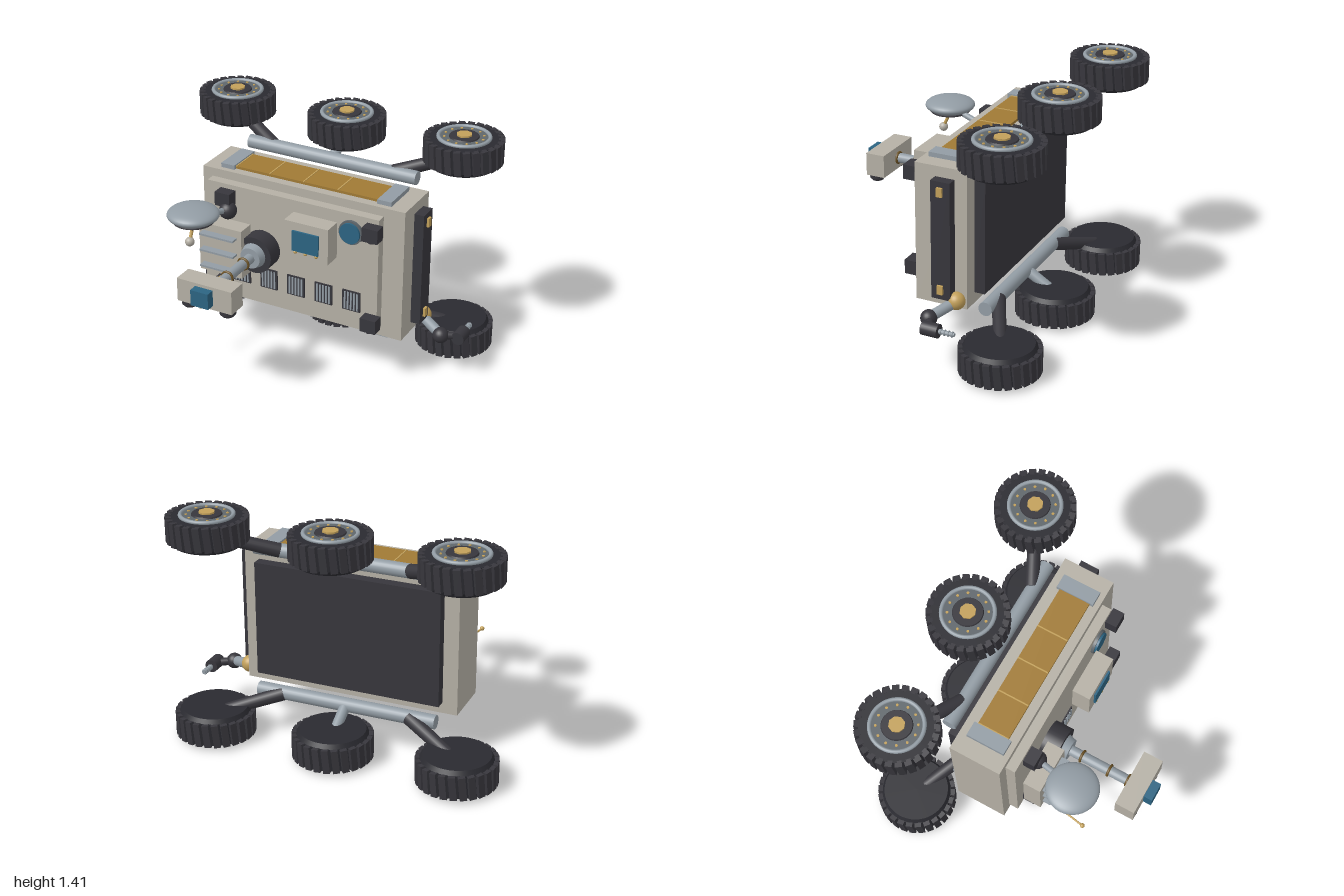
import * as THREE from 'three';

const mat = (name, color) => Object.assign(new THREE.MeshStandardMaterial({ color }), { name });
const M = {
  hull: mat('hull beige', 0xb5b0a5),
  dark: mat('dark charcoal', 0x37363c),
  tyre: mat('tyre black', 0x2a2a30),
  steel: mat('blue grey steel', 0x929ca4),
  hub: mat('hub grey', 0x5f666b),
  gold: mat('gold', 0xc2a05a),
  foil: mat('foil amber', 0xa07a35),
  bronze: mat('bronze', 0x6b5124),
  blue: mat('lens blue', 0x2c6482),
};
const MID = 0.712; // height of the horizontal symmetry plane
const UP = new THREE.Vector3(0, 1, 0);

function add(parent, name, geo, material, x = 0, y = 0, z = 0) {
  const m = new THREE.Mesh(geo, material);
  m.name = name;
  m.position.set(x, y, z);
  parent.add(m);
  return m;
}
// Box given by its limits
function box(parent, name, material, x0, x1, y0, y1, z0, z1) {
  return add(parent, name, new THREE.BoxGeometry(x1 - x0, y1 - y0, z1 - z0), material,
    (x0 + x1) / 2, (y0 + y1) / 2, (z0 + z1) / 2);
}
// Cylinder running from point a to point b
function rod(parent, name, material, a, b, r0, r1 = r0, sides = 20) {
  const A = new THREE.Vector3(...a), B = new THREE.Vector3(...b);
  const d = B.clone().sub(A);
  const m = add(parent, name, new THREE.CylinderGeometry(r1, r0, d.length(), sides), material);
  m.position.copy(A).add(B).multiplyScalar(0.5);
  m.quaternion.setFromUnitVectors(UP, d.normalize());
  return m;
}
const ball = (parent, name, material, r, x, y, z) =>
  add(parent, name, new THREE.SphereGeometry(r, 24, 16), material, x, y, z);

// Wheel with its axle on y, outer face up, origin at tread centre
function makeWheel() {
  const g = new THREE.Group();
  g.name = 'wheel';
  add(g, 'tyre', new THREE.CylinderGeometry(0.212, 0.212, 0.14, 48), M.tyre);
  add(g, 'innerSidewall', new THREE.CylinderGeometry(0.21, 0.195, 0.027, 48), M.tyre, 0, -0.083, 0);
  const lugGeo = new THREE.BoxGeometry(0.04, 0.142, 0.036);
  for (let i = 0; i < 26; i++) {
    const a = (i / 26) * Math.PI * 2;
    const lug = add(g, 'treadLug', lugGeo, M.dark, Math.sin(a) * 0.218, 0, Math.cos(a) * 0.218);
    lug.rotation.set(0, a, 0.1);
  }
  rod(g, 'rimDisc', M.hub, [0, 0.06, 0], [0, 0.076, 0], 0.145, 0.145, 40);
  add(g, 'rimRing', new THREE.TorusGeometry(0.15, 0.012, 10, 48), M.steel, 0, 0.076, 0).rotation.x = Math.PI / 2;
  rod(g, 'hubPlate', M.dark, [0, 0.07, 0], [0, 0.084, 0], 0.092, 0.085, 32);
  rod(g, 'hubCap', M.gold, [0, 0.07, 0], [0, 0.094, 0], 0.047, 0.047, 8);
  for (let i = 0; i < 12; i++) {
    const a = (i / 12) * Math.PI * 2, x = Math.sin(a) * 0.116, z = Math.cos(a) * 0.116;
    rod(g, 'rimBolt', M.gold, [x, 0.074, z], [x, 0.081, z], 0.008, 0.008, 8);
  }
  return g;
}

// One side: foil panel, end plates, beam, legs and three wheels; s = +1 upper, -1 lower
function makeSide(s) {
  const g = new THREE.Group();
  g.name = s > 0 ? 'upperSide' : 'lowerSide';
  g.position.y = MID;
  const Y = (a, b) => (s > 0 ? [a, b] : [-b, -a]);
  box(g, 'foilPanel', M.foil, -0.47, 0.47, ...Y(0.41, 0.434), -0.235, -0.04);
  for (const x of [-0.47, -0.245, -0.02, 0.205])
    box(g, 'foilSeam', M.gold, x, x + 0.008, ...Y(0.43, 0.437), -0.235, -0.04);
  for (const x of [-0.515, 0.515])
    box(g, 'endPlate', M.steel, x - 0.045, x + 0.045, ...Y(0.41, 0.445), -0.255, -0.018);
  rod(g, 'rockerBeam', M.steel, [-0.56, s * 0.452, -0.367], [0.56, s * 0.452, -0.367], 0.042, 0.042, 24);
  for (const x of [-1, 0, 1]) {
    rod(g, 'wheelLeg', x ? M.dark : M.steel, [x * 0.4, s * 0.455, -0.375],
      [x * 0.757, s * 0.565, -0.557], x ? 0.042 : 0.032, x ? 0.036 : 0.032);
    const w = makeWheel();
    w.position.set(x * 0.76, s * 0.609, -0.557);
    if (s < 0) w.rotation.x = Math.PI;
    g.add(w);
  }
  return g;
}

function makeBody() {
  const g = new THREE.Group();
  g.name = 'body';
  box(g, 'hull', M.hull, -0.665, 0.662, 0.293, 1.13, -0.305, 0.015);
  box(g, 'deckPlate', M.hull, -0.6, 0.53, 0.345, 1.077, 0.01, 0.075);
  box(g, 'bellyPlate', M.dark, -0.575, 0.57, 0.36, 1.063, -0.37, -0.3);
  box(g, 'sideStrip', M.dark, 0.66, 0.722, 0.355, 1.068, -0.23, -0.112);
  for (const y of [0.416, 1.008])
    box(g, 'stripLatch', M.gold, 0.72, 0.736, y - 0.027, y + 0.027, -0.187, -0.153);
  box(g, 'lowerVent', M.dark, -0.24, 0.23, 0.258, 0.28, -0.19, -0.09);
  // Corner cameras
  for (const [x, y] of [[-0.485, 0.415], [0.505, 0.415], [0.505, 1.005], [-0.46, 1.005]]) {
    box(g, 'cornerCamera', M.dark, x - 0.05, x + 0.05, y - 0.043, y + 0.043, 0.075, 0.147);
    rod(g, 'cornerLens', M.dark, [x, y - 0.055, 0.115], [x, y - 0.04, 0.115], 0.022);
  }
  // Row of slatted vents
  for (let i = 0; i < 5; i++) {
    const x = -0.37 + i * 0.184;
    box(g, 'vent', M.dark, x - 0.058, x + 0.058, 0.45, 0.58, 0.07, 0.083);
    for (let k = 0; k < 5; k++) {
      const sx = x - 0.04 + k * 0.02;
      box(g, 'ventSlat', M.steel, sx - 0.005, sx + 0.005, 0.458, 0.572, 0.08, 0.088);
    }
  }
  // Instrument box with screen
  box(g, 'instrumentBox', M.hull, 0, 0.283, 0.797, 1.022, 0.11, 0.222);
  box(g, 'instrumentScreen', M.blue, 0.055, 0.225, 0.842, 0.97, 0.22, 0.234);
  for (const x of [0.075, 0.14, 0.21]) ball(g, 'instrumentKnob', M.gold, 0.011, x, 0.835, 0.226);
  // Round sensor
  rod(g, 'sensorRim', M.hub, [0.358, 0.964, 0.07], [0.358, 0.964, 0.092], 0.075, 0.075, 32);
  rod(g, 'sensorLens', M.blue, [0.358, 0.964, 0.09], [0.358, 0.964, 0.105], 0.064, 0.064, 32);
  // Radiator box with fins
  box(g, 'radiatorBox', M.hull, -0.577, -0.29, 0.555, 0.868, 0.11, 0.22);
  for (const y of [0.605, 0.71, 0.815])
    box(g, 'radiatorFin', M.steel, -0.55, -0.32, y - 0.006, y + 0.006, 0.215, 0.27);
  // Whip antenna
  rod(g, 'whipAntenna', M.gold, [-0.47, 0.487, 0.075], [-0.537, 0.487, 0.475], 0.006, 0.006, 10);
  ball(g, 'antennaTip', M.gold, 0.014, -0.538, 0.487, 0.48);
  return g;
}

function makeMast() {
  const g = new THREE.Group();
  g.name = 'cameraMast';
  g.position.set(-0.227, 0.714, 0);
  rod(g, 'mastBase', M.dark, [0, 0, 0.075], [0, 0, 0.185], 0.116, 0.116, 32);
  rod(g, 'mastCollar', M.steel, [0, 0, 0.18], [0, 0, 0.23], 0.08, 0.065, 28);
  rod(g, 'mastPole', M.steel, [0, 0, 0.2], [0, 0, 0.62], 0.031);
  for (const z of [0.305, 0.485, 0.607])
    add(g, 'mastRing', new THREE.TorusGeometry(0.033, 0.008, 8, 28), M.bronze, 0, 0, z);
  box(g, 'cameraHead', M.hull, -0.178, 0.178, -0.072, 0.072, 0.615, 0.737);
  box(g, 'headScreen', M.blue, -0.057, 0.057, -0.045, 0.053, 0.73, 0.79);
  ball(g, 'headSensor', M.gold, 0.012, 0, -0.047, 0.772);
  for (const x of [-0.125, 0.125]) {
    rod(g, 'headLens', M.dark, [x, -0.065, 0.69], [x, -0.097, 0.69], 0.047, 0.047, 24);
    rod(g, 'lensBarrel', M.tyre, [x, -0.095, 0.69], [x, -0.11, 0.69], 0.036, 0.036, 24);
  }
  return g;
}

function makeDish() {
  const g = new THREE.Group();
  g.name = 'dishAntenna';
  ball(g, 'dishPivot', M.dark, 0.054, -0.433, 0.935, 0.125);
  rod(g, 'dishArm', M.steel, [-0.433, 0.935, 0.125], [-0.49, 0.995, 0.36], 0.018);
  const shell = add(g, 'dishShell', new THREE.SphereGeometry(0.154, 36, 24), M.steel, -0.505, 1.01, 0.39);
  shell.scale.y = 0.32;
  const face = add(g, 'dishFace', new THREE.SphereGeometry(0.125, 36, 12), M.dark, -0.505, 0.972, 0.39);
  face.scale.y = 0.15;
  rod(g, 'feedRod', M.gold, [-0.505, 0.96, 0.39], [-0.505, 0.855, 0.438], 0.01, 0.01, 12);
  ball(g, 'feedBall', M.hull, 0.028, -0.505, 0.853, 0.438);
  return g;
}

function makeArm() {
  const g = new THREE.Group();
  g.name = 'drillArm';
  ball(g, 'shoulder', M.gold, 0.052, 0.682, 0.345, -0.248);
  rod(g, 'upperArm', M.steel, [0.685, 0.335, -0.24], [0.84, 0.295, -0.157], 0.031);
  ball(g, 'elbow', M.dark, 0.048, 0.84, 0.293, -0.157);
  rod(g, 'foreArm', M.dark, [0.84, 0.293, -0.157], [0.94, 0.286, -0.215], 0.024);
  rod(g, 'drillHead', M.dark, [0.94, 0.286, -0.172], [0.94, 0.286, -0.272], 0.04, 0.04, 24);
  rod(g, 'drillBit', M.steel, [0.94, 0.286, -0.27], [0.94, 0.286, -0.367], 0.013, 0.011, 12);
  for (let i = 0; i < 4; i++)
    add(g, 'drillThread', new THREE.TorusGeometry(0.013, 0.005, 6, 16), M.steel, 0.94, 0.286, -0.285 - i * 0.023);
  return g;
}

export function createModel() {
  const model = new THREE.Group();
  model.name = 'rover';
  model.add(makeBody(), makeSide(1), makeSide(-1), makeMast(), makeDish(), makeArm());
  return model;
}
